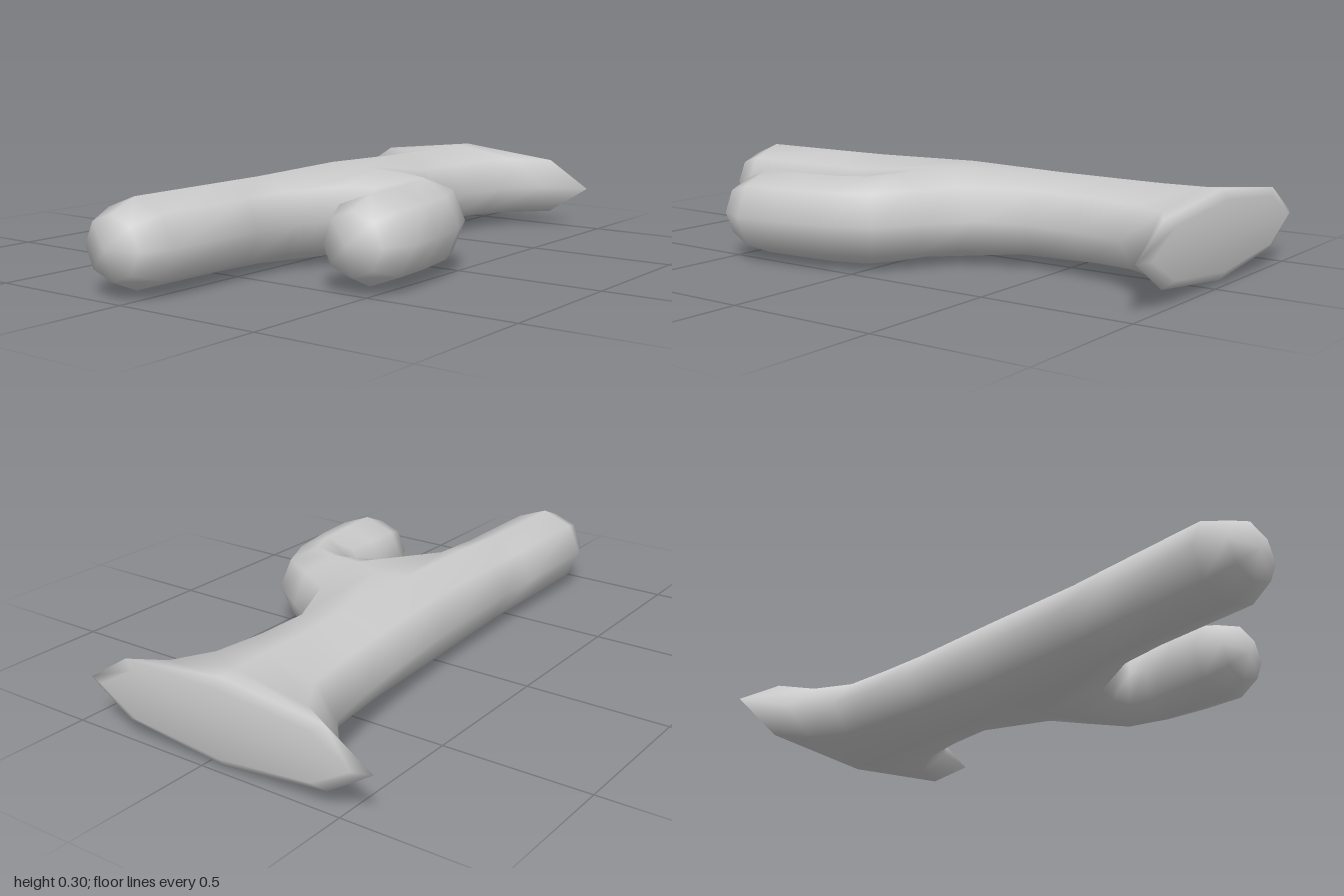
import * as THREE from 'three';

const SIDES = 8;
const MID_Y = 0.155;

export function createModel() {
  const points = [];
  const faces = [];
  const addPoint = (x, y, z) => points.push(x, y, z) / 3 - 1;

  // Eight-sided ring between two opposite [x, z] points, with half height h
  const addRing = (start, end, h) => {
    const ring = [];
    for (let i = 0; i < SIDES; i++) {
      const a = (i / SIDES) * Math.PI * 2;
      const t = (1 - Math.cos(a)) / 2;
      ring.push(addPoint(
        start[0] + (end[0] - start[0]) * t,
        MID_Y + h * Math.sin(a),
        start[1] + (end[1] - start[1]) * t));
    }
    return ring;
  };
  const bridge = (r, s, skip = []) => {
    for (let i = 0; i < SIDES; i++) {
      if (skip.includes(i)) continue;
      const j = (i + 1) % SIDES;
      faces.push(r[i], r[j], s[i], r[j], s[j], s[i]);
    }
  };
  const cap = (r, pole, atStart) => {
    for (let i = 0; i < SIDES; i++) {
      const j = (i + 1) % SIDES;
      if (atStart) faces.push(pole, r[j], r[i]);
      else faces.push(r[i], r[j], pole);
    }
  };

  // Trunk with flared base: z, left x, right x, half height
  const trunk = [
    [-1.0, -0.54, 0.40, 0.11],
    [-0.98, -0.60, 0.46, 0.14],
    [-0.915, -0.44, 0.30, 0.14],
    [-0.785, -0.33, 0.20, 0.14],
    [-0.6, -0.295, 0.165, 0.141],
    [-0.42, -0.27, 0.155, 0.144],
    [-0.07, -0.238, 0.12, 0.152],
    [0.33, -0.22, 0.105, 0.143],
    [0.5, -0.22, 0.09, 0.141],
    [0.87, -0.22, 0.09, 0.14],
    [0.965, -0.175, 0.045, 0.1],
  ].map(([z, left, right, h]) => addRing([right, z], [left, z], h));

  // The side of the trunk is left open where the branch joins
  const first = 5;
  for (let k = 0; k < trunk.length - 1; k++) {
    bridge(trunk[k], trunk[k + 1], k === first || k === first + 1 ? [7, 0] : []);
  }
  cap(trunk[0], addPoint(-0.07, MID_Y, -1), true);
  cap(trunk[trunk.length - 1], addPoint(-0.065, MID_Y, 0.995), false);

  // Edge of the opening, lifted at its middle to meet the branch at full height
  const [A, B, C] = trunk.slice(first, first + 3);
  points[B[1] * 3 + 1] = MID_Y + 0.148;
  points[B[7] * 3 + 1] = MID_Y - 0.148;
  const opening = [A[0], A[1], B[1], C[1], C[0], C[7], B[7], A[7]];

  // Bent side branch: outer x, z, inner x, z, half height
  const branch = [
    [0.20, -0.26, 0.14, 0.20, 0.148],
    [0.34, -0.165, 0.22, 0.135, 0.145],
    [0.48, -0.07, 0.29, 0.13, 0.142],
    [0.55, 0.08, 0.305, 0.19, 0.14],
    [0.585, 0.25, 0.295, 0.30, 0.14],
    [0.60, 0.40, 0.295, 0.42, 0.14],
    [0.555, 0.50, 0.34, 0.505, 0.1],
  ].map(([ox, oz, ix, iz, h]) => addRing([ox, oz], [ix, iz], h));
  [opening, ...branch].forEach((ring, k) => {
    if (k < branch.length) bridge(ring, branch[k]);
  });
  cap(branch[branch.length - 1], addPoint(0.45, MID_Y, 0.537), false);

  const geometry = new THREE.BufferGeometry();
  geometry.setAttribute('position', new THREE.Float32BufferAttribute(points, 3));
  geometry.setIndex(faces);
  geometry.computeVertexNormals();

  const mesh = new THREE.Mesh(geometry, new THREE.MeshStandardMaterial({ color: 0xcccccc }));
  mesh.name = 'forkedBranch';
  const group = new THREE.Group();
  group.name = 'branchWithFlaredBase';
  group.add(mesh);
  return group;
}
